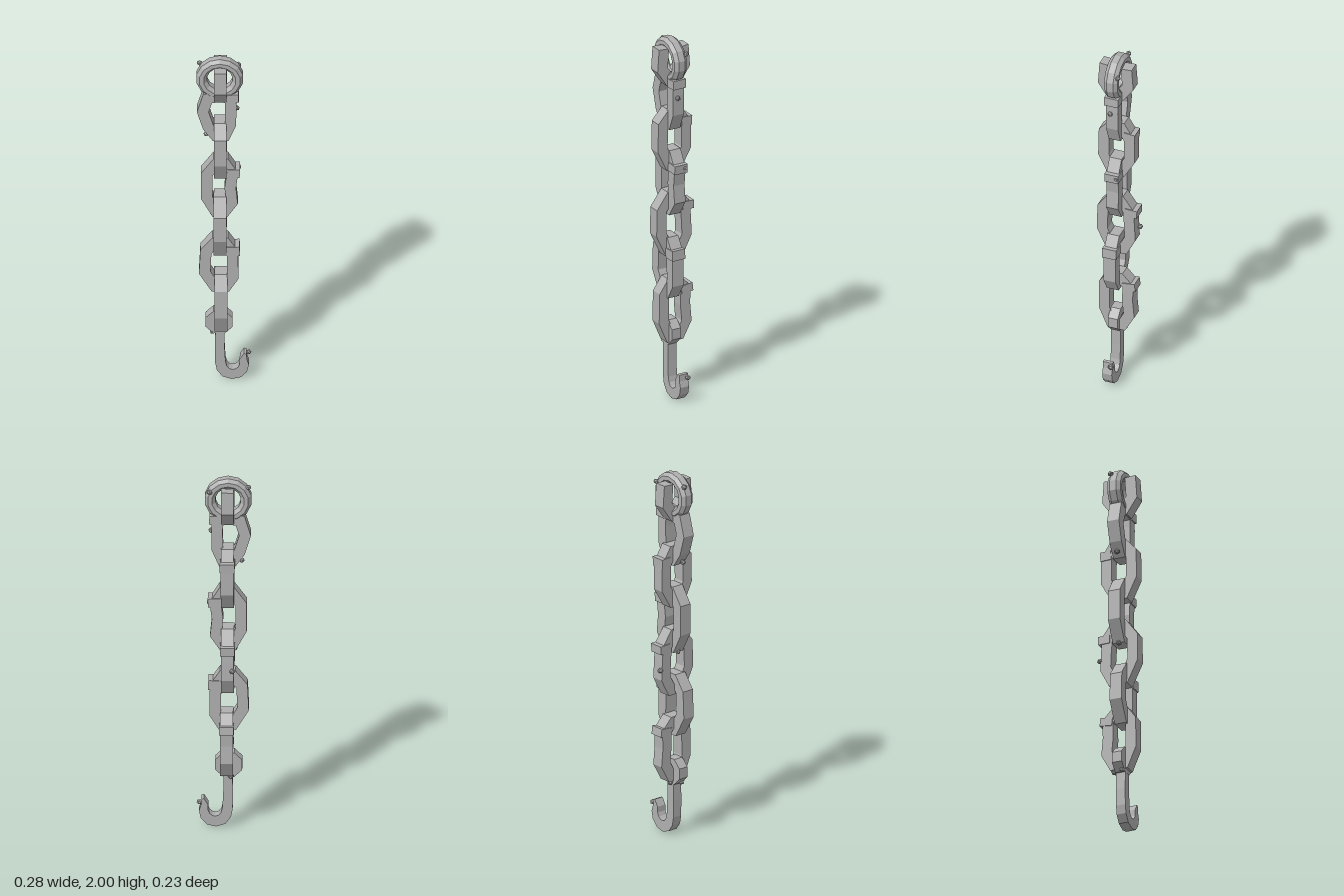
import * as THREE from 'three';

const iron = new THREE.MeshStandardMaterial({ color: 0xb0b0b0 });
iron.name = 'iron grey';

// Offsets a path [u, v, width] sideways with mitred corners; side is +1 or -1
function offset(path, closed, side) {
  const n = path.length;
  return path.map(([u, v, w], i) => {
    const p = new THREE.Vector2(u, v);
    const at = (k) => new THREE.Vector2(...path[(k + n) % n].slice(0, 2));
    const dirIn = closed || i > 0 ? p.clone().sub(at(i - 1)).normalize() : null;
    const dirOut = closed || i < n - 1 ? at(i + 1).sub(p).normalize() : null;
    const a = dirIn || dirOut, b = dirOut || dirIn;
    const t = a.clone().add(b).normalize();
    const reach = (side * w) / 2 / Math.max(0.7, t.dot(a));
    return new THREE.Vector2(u + t.y * reach, v - t.x * reach);
  });
}

// Flat bar of square section that follows a path (closed paths run anticlockwise)
function bar(path, closed, depth) {
  const outer = offset(path, closed, 1);
  const inner = offset(path, closed, -1);
  const shape = new THREE.Shape(closed ? outer : [...outer, ...inner.reverse()]);
  if (closed) shape.holes.push(new THREE.Path(inner));
  const geo = new THREE.ExtrudeGeometry(shape, { depth, bevelEnabled: false });
  return geo.translate(0, 0, -depth / 2);
}

function flat(geo) {
  const g = geo.toNonIndexed();
  g.computeVertexNormals();
  return g;
}

export function createModel() {
  const model = new THREE.Group();
  model.name = 'hangingChainWithHook';
  const add = (name, geo, x = 0, y = 0, z = 0) => {
    const mesh = new THREE.Mesh(geo, iron);
    mesh.name = name;
    mesh.position.set(x, y, z);
    model.add(mesh);
    return mesh;
  };

  // Top ring with a chamfered section
  const section = [
    [0.122, -0.018], [0.122, 0.018], [0.106, 0.037], [0.084, 0.037],
    [0.066, 0.018], [0.066, -0.018], [0.084, -0.037], [0.106, -0.037], [0.122, -0.018],
  ].map((p) => new THREE.Vector2(...p));
  add('topRing', flat(new THREE.LatheGeometry(section, 14).rotateX(Math.PI / 2)), -0.021, 1.878, 0.007);

  // Broken open link straddling the ring
  const cut = [[-0.065, 1.955], [-0.073, 1.84], [-0.03, 1.775], [0.015, 1.775], [0.06, 1.84], [0.052, 1.95]];
  add('openLink', bar(cut.map(([u, v]) => [u, v, 0.06]), false, 0.065), -0.018).rotation.y = Math.PI / 2;

  // Closed links: side = turned a quarter about the chain; shift = offset across the link;
  // clamp = [u, v, width, height, tilt] of the weld block on one bar
  const links = [
    { side: false, shift: 0.008, clamp: [0.046, 1.767, 0.06, 0.048, 0.04],
      path: [[-0.04, 1.77], [-0.083, 1.765], [-0.108, 1.68], [-0.08, 1.585], [-0.042, 1.53], [0.005, 1.53], [0.034, 1.6], [0.036, 1.7], [0.034, 1.76], [0, 1.77]] },
    { side: true, shift: -0.018, clamp: [0.07, 1.527, 0.06, 0.05, -0.05],
      path: [[0.025, 1.58], [-0.025, 1.58], [-0.07, 1.53], [-0.073, 1.39], [-0.03, 1.3], [0.022, 1.3], [0.068, 1.38], [0.068, 1.51]] },
    { side: false, shift: 0.004, clamp: [0.05, 1.295, 0.065, 0.048, -0.04],
      path: [[-0.038, 1.355], [-0.088, 1.285], [-0.088, 1.14], [-0.04, 1.05], [0.003, 1.05], [0.042, 1.11], [0.033, 1.2], [0.044, 1.29], [0.005, 1.355]] },
    { side: true, shift: -0.019, clamp: [0.079, 1.053, 0.065, 0.045, -0.03],
      path: [[0.02, 1.12], [-0.027, 1.12], [-0.078, 1.05], [-0.08, 0.92], [-0.032, 0.818], [0.035, 0.818], [0.072, 0.89], [0.068, 0.98], [0.062, 1.06]] },
    { side: false, shift: 0.017, clamp: [0.048, 0.815, 0.068, 0.055, 0.05],
      path: [[-0.045, 0.87], [-0.092, 0.81], [-0.098, 0.68], [-0.045, 0.59], [0.01, 0.59], [0.046, 0.65], [0.044, 0.81], [0.005, 0.87]] },
    { side: true, shift: -0.014, clamp: [0.069, 0.59, 0.068, 0.045, 0.12],
      path: [[0.02, 0.635], [-0.027, 0.635], [-0.066, 0.58], [-0.068, 0.43], [-0.03, 0.34], [0.03, 0.34], [0.068, 0.41], [0.06, 0.5], [0.062, 0.59]] },
  ];
  links.forEach(({ side, shift, clamp, path }, i) => {
    const group = new THREE.Group();
    group.name = `chainLink${i + 1}`;
    const link = new THREE.Mesh(bar(path.map(([u, v]) => [u, v, 0.058]), true, 0.066), iron);
    link.name = 'linkLoop';
    const [u, v, w, h, tilt] = clamp;
    const block = new THREE.Mesh(new THREE.BoxGeometry(w, h, 0.076), iron);
    block.name = 'weldBlock';
    block.position.set(u, v, 0);
    block.rotation.z = tilt;
    group.add(link, block);
    if (side) group.rotation.y = Math.PI / 2;
    group.position[side ? 'x' : 'z'] = shift;
    model.add(group);
  });

  // Hook eye: an octagonal ring
  const eye = Array.from({ length: 8 }, (_, i) => {
    const a = ((i + 0.5) * Math.PI) / 4;
    return [0.05 * Math.cos(a), 0.05 * Math.sin(a), 0.046];
  });
  add('hookEye', bar(eye, true, 0.054), -0.024, 0.36, 0.01);

  // Tapering hook
  const hook = [
    [-0.02, 0.32, 0.046], [-0.021, 0.2, 0.05], [-0.018, 0.11, 0.053], [-0.01, 0.072, 0.055], [0.01, 0.045, 0.057],
    [0.042, 0.034, 0.057], [0.073, 0.041, 0.056], [0.096, 0.064, 0.052], [0.105, 0.095, 0.046],
    [0.1, 0.127, 0.036], [0.11, 0.162, 0.014],
  ];
  add('hook', bar(hook, false, 0.052), 0, 0, 0.01);

  // Small rust lumps
  const lumps = [
    [-0.125, 1.952, -0.012], [0.075, 1.93, -0.03], [0.066, 1.69, 0.015], [-0.09, 1.523, 0.01],
    [0.075, 1.295, -0.02], [-0.055, 1.022, 0.005], [-0.045, 0.94, -0.105], [-0.058, 0.297, 0.025],
    [-0.035, 0.302, -0.03], [0.126, 0.142, -0.01],
  ];
  lumps.forEach(([x, y, z], i) => {
    const lump = add('rustLump', new THREE.IcosahedronGeometry(0.016, 0), x, y, z);
    lump.rotation.set(i, i * 2, 0);
    lump.scale.y = 0.85;
  });

  return model;
}
